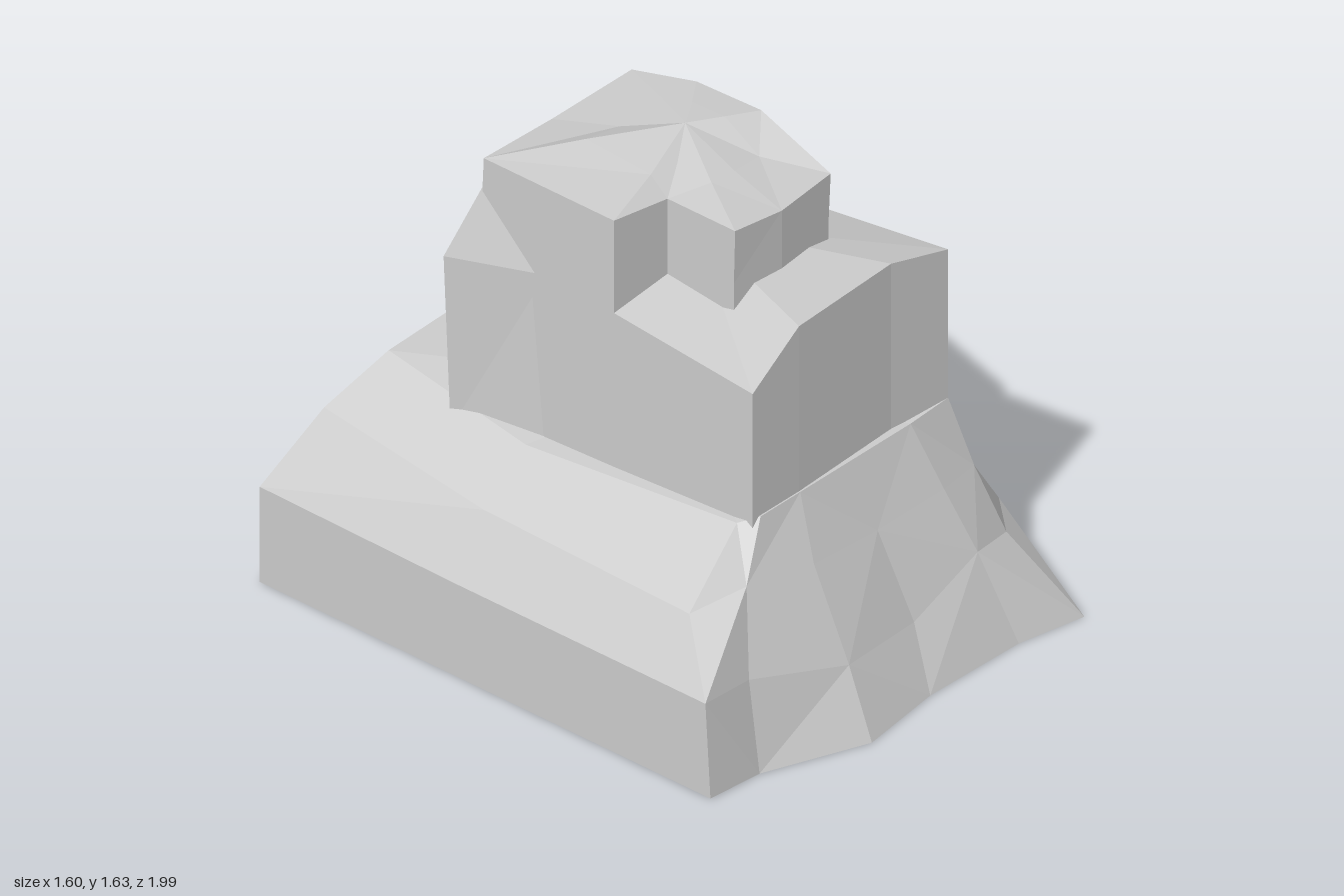
import * as THREE from 'three';

const material = new THREE.MeshStandardMaterial({ color: 0xcccccc, flatShading: true, side: THREE.DoubleSide });

// Faceted loft through rings of [x, y, z], counter-clockwise from above,
// closed by fans to the points 'top' and 'bottom' where these are given.
function rock(name, rings, top, bottom) {
  const positions = [];
  const n = rings[0].length;
  const tri = (a, b, c) => positions.push(...a, ...b, ...c);
  for (let r = 0; r + 1 < rings.length; r++) {
    for (let i = 0; i < n; i++) {
      const j = (i + 1) % n;
      const [a, b, c, d] = [rings[r][i], rings[r][j], rings[r + 1][j], rings[r + 1][i]];
      // alternate the diagonals for an irregular, chiselled look
      if ((i + r) % 2) { tri(a, b, c); tri(a, c, d); }
      else { tri(a, b, d); tri(b, c, d); }
    }
  }
  const first = rings[0], last = rings[rings.length - 1];
  for (let i = 0; i < n; i++) {
    const j = (i + 1) % n;
    if (top) tri(last[i], last[j], top);
    if (bottom) tri(first[j], first[i], bottom);
  }
  const geometry = new THREE.BufferGeometry();
  geometry.setAttribute('position', new THREE.Float32BufferAttribute(positions, 3));
  geometry.computeVertexNormals();
  const mesh = new THREE.Mesh(geometry, material);
  mesh.name = name;
  return mesh;
}

// Ring from a flat outline of [x, z] at one height
const level = (outline, y) => outline.map(([x, z]) => [x, y, z]);

export function createModel() {
  const group = new THREE.Group();
  group.name = 'rockFormation';

  // Spreading foot with the low block behind it
  const ground = level([
    [-0.8, 0.82], [-0.6, 0.84], [-0.25, 0.98], [0.06, 0.94], [0.45, 0.95], [0.69, 1.0], [0.8, 0.37],
    [0.8, -0.2], [0.66, -0.36], [0.57, -0.52], [0.3, -0.51], [0.3, -0.99], [-0.8, -0.98], [-0.8, -0.2],
  ], 0);
  const low = [
    [-0.8, 0.33, 0.8], [-0.58, 0.3, 0.78], [-0.24, 0.23, 0.88], [0.1, 0.2, 0.84], [0.4, 0.3, 0.83],
    [0.575, 0.27, 0.79], [0.7, 0.27, 0.65], [0.71, 0.23, -0.19], [0.6, 0.3, -0.38], [0.56, 0.3, -0.52],
    [0.3, 0.3, -0.51], [0.29, 0.34, -0.99], [-0.8, 0.34, -0.98], [-0.8, 0.33, -0.2],
  ];
  const shoulder = [
    [-0.68, 0.52, 0.63], [-0.5, 0.56, 0.7], [-0.24, 0.53, 0.74], [0.06, 0.5, 0.73], [0.35, 0.51, 0.74],
    [0.52, 0.5, 0.71], [0.58, 0.5, 0.5], [0.58, 0.5, -0.2], [0.52, 0.52, -0.4], [0.51, 0.52, -0.47],
    [0.28, 0.52, -0.47], [0.28, 0.56, -0.9], [-0.61, 0.57, -0.89], [-0.67, 0.53, -0.2],
  ];
  const ledge = [
    [-0.43, 0.71, 0.6], [-0.38, 0.73, 0.65], [-0.2, 0.73, 0.65], [0.05, 0.73, 0.65], [0.3, 0.73, 0.65],
    [0.47, 0.74, 0.65], [0.47, 0.73, 0.4], [0.47, 0.73, -0.2], [0.465, 0.74, -0.38], [0.46, 0.74, -0.42],
    [0.25, 0.73, -0.43], [0.25, 0.73, -0.81], [-0.42, 0.72, -0.8], [-0.48, 0.67, -0.2],
  ];
  group.add(rock('foot', [ground, low, shoulder, ledge], [0, 0.74, 0], [0, 0, 0]));

  // Upright block with an uneven top
  const columnTop = [
    [-0.41, 1.18, 0.645], [-0.2, 1.32, 0.645], [0.24, 1.32, 0.625], [0.47, 1.27, 0.65], [0.47, 1.2, 0.12],
    [0.47, 1.2, -0.18], [0.465, 1.26, -0.42], [0.25, 1.3, -0.43], [-0.1, 1.3, -0.43], [-0.42, 1.3, -0.43],
    [-0.42, 1.24, 0.1],
  ];
  const columnBase = columnTop.map(([x, , z]) => [x, 0.62, z]);
  group.add(rock('column', [columnBase, columnTop], [0, 1.33, 0.05]));

  // Sharp spur on the rear corner
  const spurBase = [[-0.41, 0.6, -0.12], [-0.48, 0.6, -0.5], [-0.18, 0.6, -0.42]].reverse();
  const spurTop = [[-0.41, 1.25, -0.18], [-0.5, 1.22, -0.51], [-0.2, 1.3, -0.42]].reverse();
  group.add(rock('spur', [spurBase, spurTop], [-0.415, 1.47, -0.425]));

  // Capping boulder with a notch at the front corner
  const capBase = level([
    [-0.42, 0.1], [-0.2, 0.12], [-0.2, 0.385], [0, 0.4], [0.24, 0.375], [0.3, 0.1],
    [0.27, -0.2], [0.24, -0.43], [-0.1, -0.44], [-0.42, -0.43],
  ], 1.17);
  const capMid = capBase.map(([x, , z], i) => [x + (i === 5 ? 0.01 : 0), 1.36, z]);
  const capTop = [
    [-0.42, 1.57, 0.1], [-0.2, 1.55, 0.12], [-0.2, 1.55, 0.39], [0, 1.53, 0.4], [0.25, 1.53, 0.375],
    [0.27, 1.62, 0.08], [0.26, 1.62, -0.17], [0.25, 1.56, -0.42], [-0.1, 1.55, -0.43], [-0.42, 1.57, -0.42],
  ];
  // inner ring that rounds the crown
  const crown = capTop.map(([x, y, z], i) => [
    0.05 + (x - 0.05) * 0.5, Math.min(1.63, y + 0.025 + (i % 2) * 0.015), -0.02 + (z + 0.02) * 0.5,
  ]);
  group.add(rock('capBoulder', [capBase, capMid, capTop, crown], [0.05, 1.635, -0.03]));

  return group;
}
